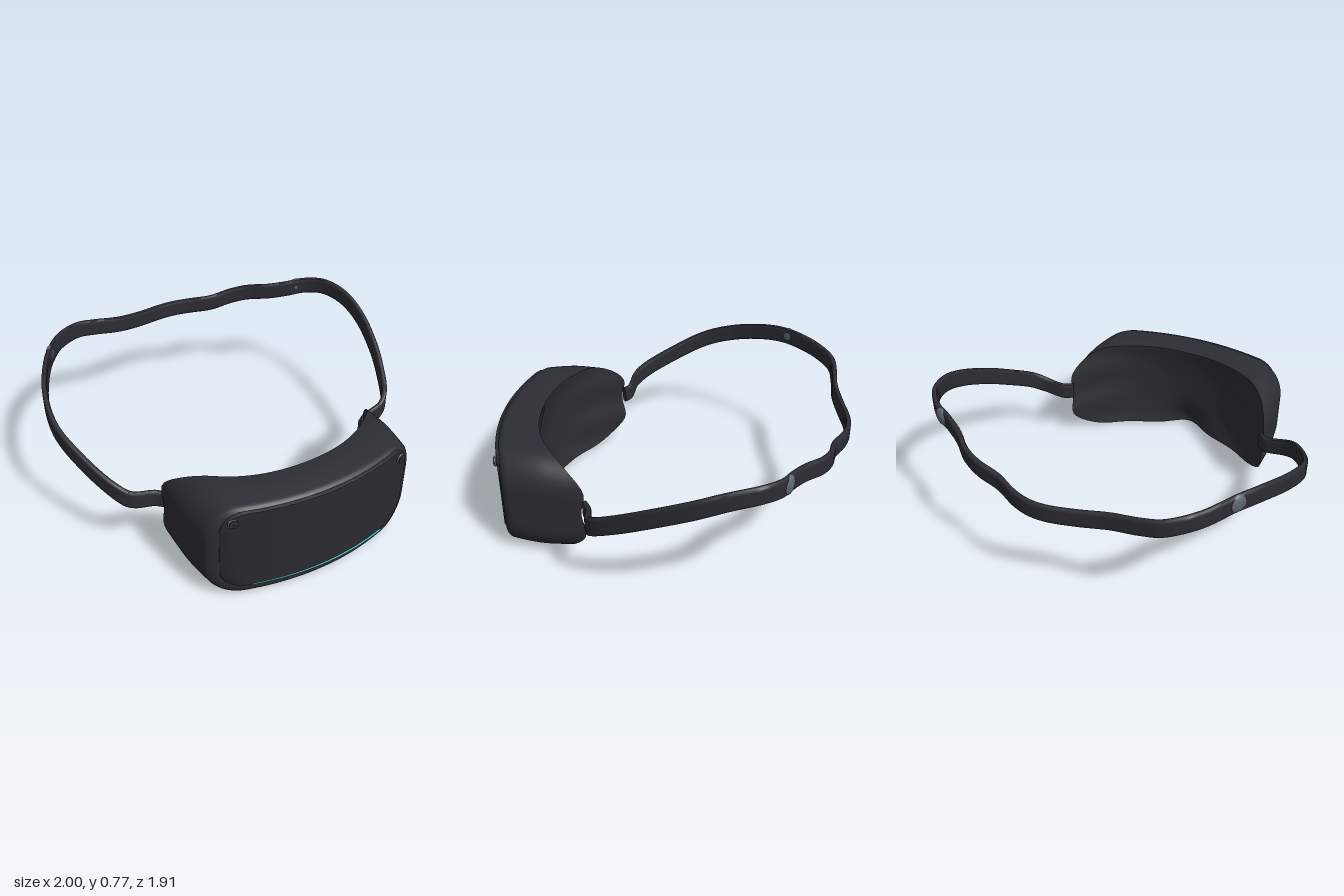
import * as THREE from 'three';
import { toCreasedNormals } from 'three/addons/utils/BufferGeometryUtils.js';

const mat = (name, color, side = THREE.FrontSide) => {
  const m = new THREE.MeshStandardMaterial({ color, side });
  m.name = name;
  return m;
};

const CX = -0.012; // middle of the visor
const frontZ = (x) => 0.945 - 0.36 * x * x;

// Face side of the visor: wraps the head, with a nose notch and soft ripples
function backZ(x, y) {
  const wrap = 0.73 - 0.5 * x * x - 0.95 * x ** 4;
  const nose = 0.1 * Math.exp(-((x / 0.13) ** 2) - (y / 0.13) ** 2);
  const ripple = 0.01 * Math.sin(y * 26) * Math.min(1, (x / 0.5) ** 4);
  return wrap + nose + ripple;
}

// Skin a list of equal-length rings, each closed on itself
function loft(rings, crease = 0.7) {
  const n = rings[0].length, index = [];
  for (let i = 0; i < rings.length - 1; i++) {
    for (let j = 0; j < n; j++) {
      const k = (j + 1) % n, a = i * n, b = a + n;
      index.push(a + j, b + j, b + k, a + j, b + k, a + k);
    }
  }
  const geo = new THREE.BufferGeometry();
  geo.setAttribute('position', new THREE.Float32BufferAttribute(rings.flat().flatMap((p) => [p.x, p.y, p.z]), 3));
  geo.setIndex(index);
  return toCreasedNormals(geo, crease);
}

// Evenly spaced counter-clockwise points of a rounded rectangle
function roundedRect(w, h, r, count) {
  const s = new THREE.Shape();
  s.absarc(w - r, h - r, r, 0, Math.PI / 2);
  s.absarc(r - w, h - r, r, Math.PI / 2, Math.PI);
  s.absarc(r - w, r - h, r, Math.PI, Math.PI * 1.5);
  s.absarc(w - r, r - h, r, Math.PI * 1.5, Math.PI * 2);
  s.closePath();
  return s.getSpacedPoints(count).slice(0, count);
}

function visorGeometry() {
  const W = 0.623, H = 0.29;
  const outline = roundedRect(W, H, 0.18, 120);
  const ring = (sx, sy, zAt) => outline.map((p) => {
    const x = p.x * sx, y = H + p.y * sy;
    return new THREE.Vector3(x + CX, y, zAt(x, y));
  });
  const rings = [];
  const fw = 0.965, fh = 0.965, bevel = 0.045;
  // front face
  for (let i = 0; i < 8; i++) {
    const s = i / 8;
    rings.push(ring(s * (fw - bevel / W), s * (fh - bevel / H), frontZ));
  }
  // rounded front rim
  for (let i = 0; i <= 6; i++) {
    const a = (i / 6) * Math.PI / 2, d = bevel * (1 - Math.sin(a)), drop = 0.045 * (1 - Math.cos(a));
    rings.push(ring(fw - d / W, fh - d / H, (x) => frontZ(x) - drop));
  }
  // side walls, flaring a little toward the face
  for (let i = 1; i <= 8; i++) {
    const u = i / 8, flare = 0.035 * Math.sin(Math.min(1, u * 1.6) * Math.PI / 2);
    const sy = fh + flare - 0.05 * Math.max(0, u - 0.6);
    rings.push(ring(fw + flare, sy, (x, y) => THREE.MathUtils.lerp(frontZ(x) - 0.045, backZ(x, y), u)));
  }
  // padded face side
  for (let i = 12; i >= 0; i--) {
    const s = i / 12;
    rings.push(ring(s * 0.985, s * 0.965, (x, y) => backZ(x, y) + 0.035 * (1 - s * s)));
  }
  return loft(rings);
}

function panelGeometry() {
  const outline = roundedRect(0.545, 0.24, 0.12, 96);
  const ring = (s, lift) => outline.map((p) => new THREE.Vector3(p.x * s + CX, 0.315 + p.y * s, frontZ(p.x * s) + lift));
  const rings = [];
  for (let i = 0; i <= 8; i++) rings.push(ring(i / 8 * 0.99, 0.007));
  rings.push(ring(1, 0.002), ring(1, -0.025));
  return loft(rings);
}

// Head strap path, from the right hinge round the back to the left hinge
const strapPath = new THREE.CatmullRomCurve3([
  [-0.62, 0.33, 0.385], [-0.66, 0.333, 0.355], [-0.78, 0.36, 0.335], [-0.84, 0.40, 0.28],
  [-0.93, 0.49, 0.1], [-0.985, 0.58, -0.1], [-0.96, 0.645, -0.3], [-0.88, 0.69, -0.5],
  [-0.81, 0.70, -0.62], [-0.7, 0.68, -0.77], [-0.56, 0.655, -0.87], [-0.45, 0.635, -0.885],
  [-0.3, 0.61, -0.885], [-0.15, 0.592, -0.91], [0, 0.585, -0.937], [0.1, 0.585, -0.937],
  [0.2, 0.59, -0.91], [0.32, 0.605, -0.855], [0.45, 0.63, -0.83], [0.55, 0.65, -0.785],
  [0.65, 0.67, -0.7], [0.75, 0.69, -0.64], [0.85, 0.71, -0.59], [0.93, 0.722, -0.5],
  [0.975, 0.705, -0.36], [0.985, 0.65, -0.2], [0.95, 0.56, 0], [0.9, 0.48, 0.15],
  [0.83, 0.4, 0.29], [0.77, 0.36, 0.335], [0.65, 0.333, 0.355], [0.60, 0.33, 0.385],
].map((p) => new THREE.Vector3(...p)));

function strapGeometry() {
  const section = roundedRect(0.014, 0.049, 0.012, 24);
  const steps = 180, rings = [];
  const ring = (t, s) => {
    const c = strapPath.getPoint(t), T = strapPath.getTangent(t);
    const right = new THREE.Vector3().crossVectors(T, new THREE.Vector3(0, 1, 0)).normalize();
    const up = new THREE.Vector3().crossVectors(right, T);
    return section.map((p) => c.clone().addScaledVector(right, p.x * s).addScaledVector(up, p.y * s));
  };
  rings.push(ring(0, 0));
  for (let i = 0; i <= steps; i++) rings.push(ring(i / steps, 1));
  rings.push(ring(1, 0));
  return loft(rings, 0.8);
}

export function createModel() {
  const shell = mat('graphite shell', 0x2d2d35);
  const glass = mat('dark front panel', 0x29292f);
  const fabric = mat('strap fabric', 0x2d2c34);
  const metal = mat('grey metal', 0x5c6670);
  const lens = mat('black lens', 0x17171b);
  const glow = mat('cyan light', 0x2fb3bd);

  const group = new THREE.Group();
  group.name = 'headset';
  const add = (name, geo, material, parent = group) => {
    const mesh = new THREE.Mesh(geo, material);
    mesh.name = name;
    parent.add(mesh);
    return mesh;
  };

  add('visorBody', visorGeometry(), shell);
  add('frontPanel', panelGeometry(), glass);
  add('headStrap', strapGeometry(), fabric);

  // light strip following the front curve
  const lightPath = new THREE.CatmullRomCurve3(Array.from({ length: 13 }, (_, i) => {
    const x = -0.4 + i * 0.77 / 12;
    return new THREE.Vector3(x, 0.077, frontZ(x) + 0.006);
  }));
  add('lightStrip', new THREE.TubeGeometry(lightPath, 48, 0.006, 8), glow);

  // front cameras in the upper corners
  for (const side of [-1, 1]) {
    const x = CX + side * 0.483;
    const camera = new THREE.Group();
    camera.name = side > 0 ? 'leftCamera' : 'rightCamera';
    camera.position.set(x, 0.5, frontZ(x) + 0.008);
    camera.rotation.y = side * 0.2;
    add('cameraRim', new THREE.TorusGeometry(0.024, 0.005, 10, 32), metal, camera);
    const barrel = add('cameraBarrel', new THREE.CylinderGeometry(0.023, 0.025, 0.02, 32), shell, camera);
    barrel.rotation.x = Math.PI / 2;
    add('cameraLens', new THREE.SphereGeometry(0.014, 20, 12), lens, camera).scale.z = 0.85;
    group.add(camera);
  }

  // oval strap adjusters lying on the outer face of the strap
  for (const [name, x, y, z, turn] of [
    ['rightAdjuster', -0.815, 0.702, -0.62, -2.62],
    ['leftAdjuster', 0.805, 0.702, -0.622, 2.6],
  ]) {
    const knob = add(name, new THREE.SphereGeometry(0.05, 28, 18), metal);
    knob.scale.set(0.95, 1, 0.42);
    knob.position.set(x, y, z);
    const t = strapPath.getTangent(name === 'rightAdjuster' ? 8 / 31 : 21.5 / 31);
    knob.rotation.y = Math.atan2(-t.z, t.x);
  }
  return group;
}
